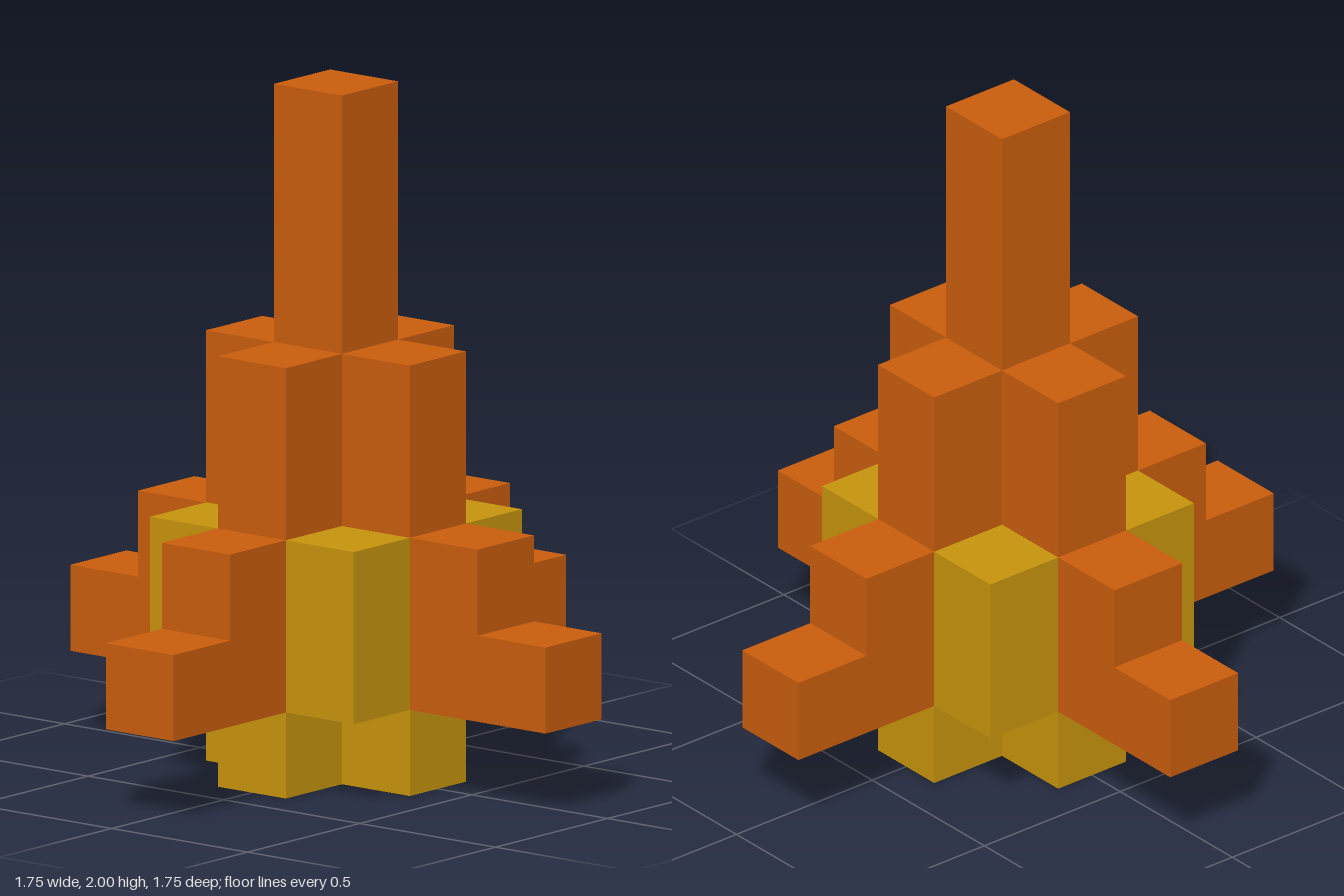
import * as THREE from 'three';

const U = 0.25; // one block

const orange = new THREE.MeshStandardMaterial({ color: 0xc95d0d });
orange.name = 'burnt orange';
const gold = new THREE.MeshStandardMaterial({ color: 0xc6930d });
gold.name = 'gold';

// Extrude an outline given in block units
function extrude(points, depth) {
  const shape = new THREE.Shape(points.map(([x, y]) => new THREE.Vector2(x * U, y * U)));
  return new THREE.ExtrudeGeometry(shape, { depth: depth * U, bevelEnabled: false });
}

function add(parent, name, geometry, material) {
  const mesh = new THREE.Mesh(geometry, material);
  mesh.name = name;
  parent.add(mesh);
  return mesh;
}

export function createModel() {
  const model = new THREE.Group();
  model.name = 'steppedTower';

  // Cross-shaped foot
  const cross = [
    [0.5, 0.5], [0.5, 1.5], [-0.5, 1.5], [-0.5, 0.5], [-1.5, 0.5], [-1.5, -0.5],
    [-0.5, -0.5], [-0.5, -1.5], [0.5, -1.5], [0.5, -0.5], [1.5, -0.5], [1.5, 0.5],
  ];
  add(model, 'foot', extrude(cross, 1).rotateX(-Math.PI / 2), gold);

  // Central spire, running from the foot to the tip
  const spire = add(model, 'spire', new THREE.BoxGeometry(U, 7 * U, U), orange);
  spire.position.y = 4.5 * U;

  // Four stepped buttresses around the spire
  const steps = [[0.5, 1], [3.5, 1], [3.5, 2], [2.5, 2], [2.5, 3], [1.5, 3], [1.5, 5], [0.5, 5]];
  const buttress = extrude(steps, 1).translate(0, 0, -U / 2);

  // Corner pillars between the buttresses
  const pillar = new THREE.BoxGeometry(U, 2 * U, U).translate(U, 2 * U, U);

  for (let i = 0; i < 4; i++) {
    const angle = (i * Math.PI) / 2;
    add(model, 'buttress' + (i + 1), buttress, orange).rotation.y = angle;
    add(model, 'cornerPillar' + (i + 1), pillar, gold).rotation.y = angle;
  }
  return model;
}
